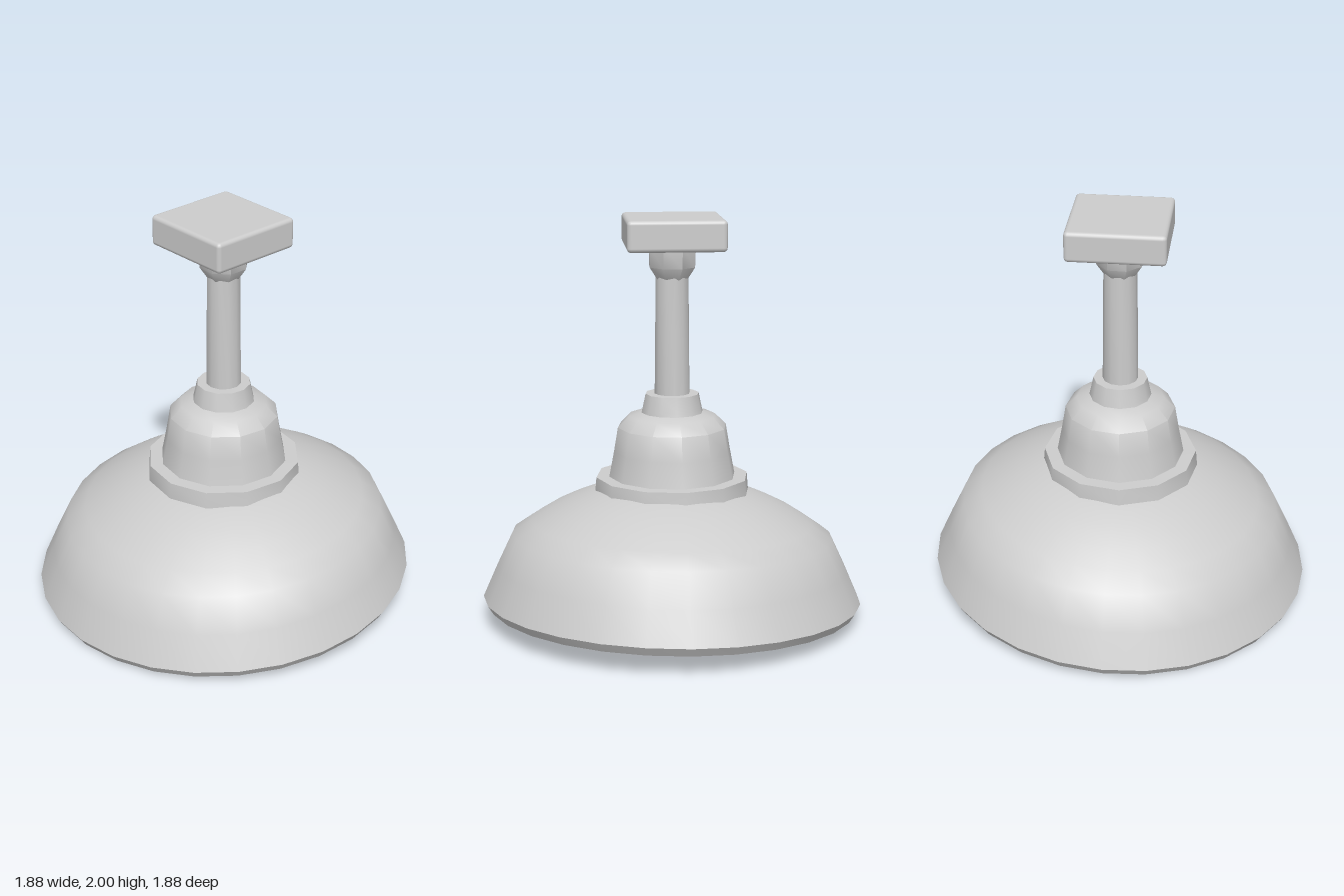
import * as THREE from 'three';
import { toCreasedNormals } from 'three/addons/utils/BufferGeometryUtils.js';
import { RoundedBoxGeometry } from 'three/addons/geometries/RoundedBoxGeometry.js';

export function createModel() {
  const model = new THREE.Group();
  model.name = 'pendantLamp';
  const grey = new THREE.MeshStandardMaterial({ color: 0xcccccc });
  grey.name = 'light grey';

  const add = (name, geometry) => {
    const mesh = new THREE.Mesh(geometry, grey);
    mesh.name = name;
    model.add(mesh);
    return mesh;
  };

  // Turned part from [radius, height] pairs, listed bottom to top;
  // slope makes it rise towards +x.
  const turned = (name, profile, sides, slope = 0, crease = 0.7) => {
    const g = new THREE.LatheGeometry(profile.map(([r, y]) => new THREE.Vector2(r, y)), sides);
    const p = g.attributes.position;
    for (let i = 0; i < p.count; i++) p.setY(i, p.getY(i) + slope * p.getX(i));
    return add(name, toCreasedNormals(g, crease));
  };

  const tilt = 0.058;

  // Shade: recessed underside, rolled rim, flared wall and domed top
  turned('underside', [[0, 0.1], [0.785, 0.1]], 28, tilt);
  turned('shade', [
    [0.785, 0.1], [0.83, 0.068], [0.875, 0.056], [0.915, 0.057], [0.942, 0.1],
    [0.87, 0.265], [0.795, 0.425], [0.7, 0.49], [0.6, 0.553], [0.5, 0.602],
    [0.4, 0.642], [0.3, 0.67], [0, 0.68],
  ], 28, tilt, 0.9);

  // Collar and socket housing above the shade
  turned('collar', [[0.385, 0.64], [0.378, 0.722], [0.28, 0.724]], 12, 0.008);
  turned('housing', [
    [0.32, 0.7], [0.313, 0.73], [0.29, 0.85], [0.27, 0.97],
    [0.215, 1.025], [0.14, 1.045],
  ], 12);
  turned('neck', [[0.155, 1.03], [0.148, 1.06], [0.132, 1.135], [0, 1.136]], 12);

  // Rod and the coupling under the ceiling plate
  turned('rod', [[0.087, 1.1], [0.08, 1.78]], 12);
  turned('coupling', [[0.08, 1.7], [0.118, 1.757], [0.122, 1.86]], 8);

  // Square ceiling plate, turned a little
  const plate = add('ceilingPlate', new RoundedBoxGeometry(0.475, 0.15, 0.475, 2, 0.02));
  plate.position.set(-0.003, 1.925, -0.006);
  plate.rotation.y = 0.435;

  return model;
}
